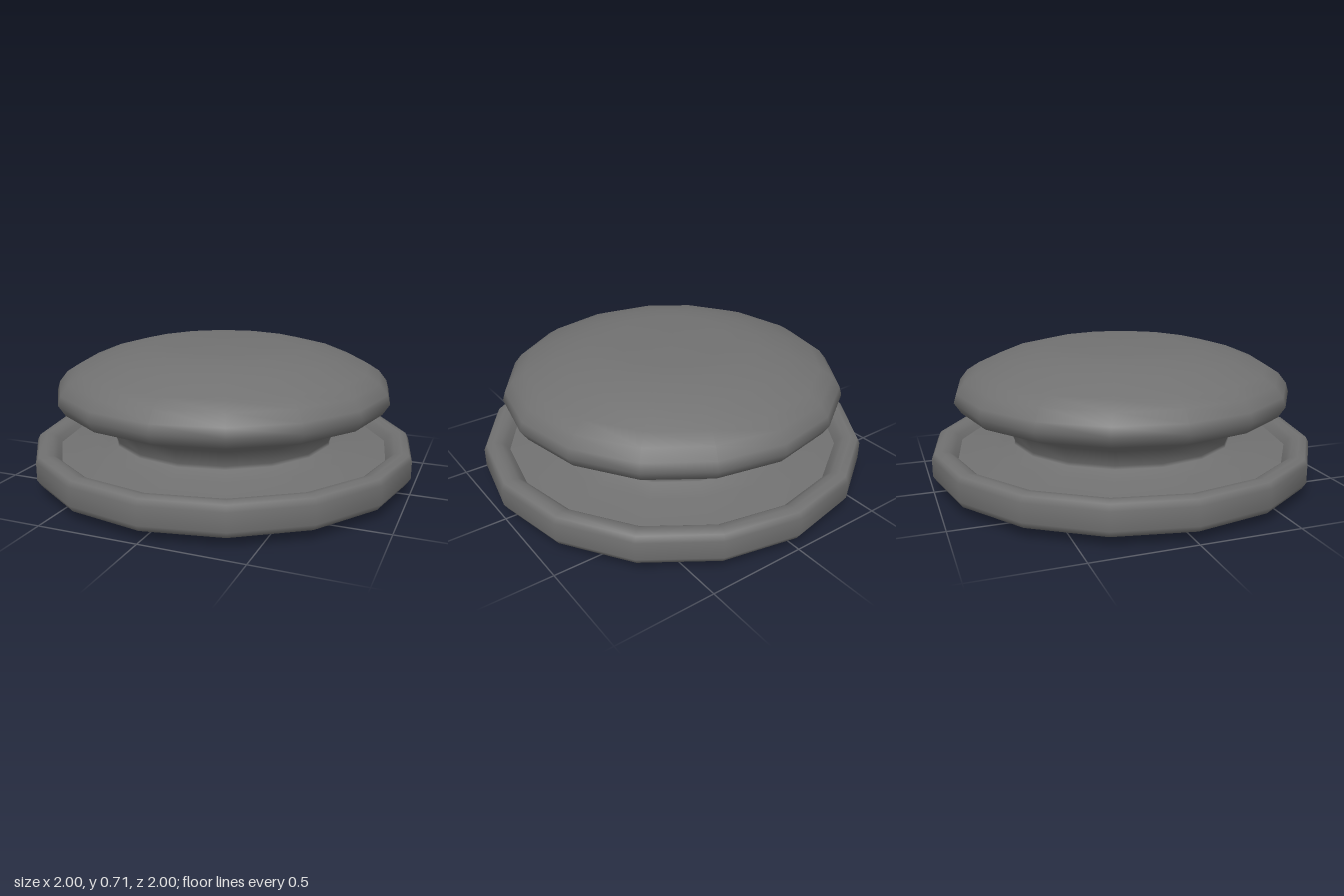
import * as THREE from 'three';

const SIDES = 16;

// Turned part from a bottom-to-top list of [radius, height] points
function turned(name, profile) {
  const geometry = new THREE.LatheGeometry(profile.map(([r, y]) => new THREE.Vector2(r, y)), SIDES);
  const mesh = new THREE.Mesh(geometry, new THREE.MeshStandardMaterial({ color: 0x717171, side: THREE.DoubleSide }));
  mesh.name = name;
  return mesh;
}

export function createModel() {
  const group = new THREE.Group();
  group.name = 'knob';

  // Flange: shallow cone underside, rounded outer wall, raised rim
  group.add(turned('flange', [
    [0, 0], [0.94, 0.045], [0.98, 0.053], [1, 0.085],
    [1, 0.175], [0.985, 0.203], [0.95, 0.21], [0.915, 0.203], [0.89, 0.185], [0.87, 0.16],
  ]));

  // Recessed floor sweeping up into the neck
  // and the cushion-shaped head
  group.add(turned('neckAndHead', [
    [0.87, 0.16], [0.68, 0.18], [0.582, 0.208], [0.577, 0.225], [0.612, 0.306],
    [0.842, 0.398], [0.877, 0.452], [0.863, 0.498], [0.822, 0.55], [0.757, 0.591],
    [0.61, 0.652], [0.45, 0.692], [0.3, 0.705], [0, 0.71],
  ]));

  return group;
}
